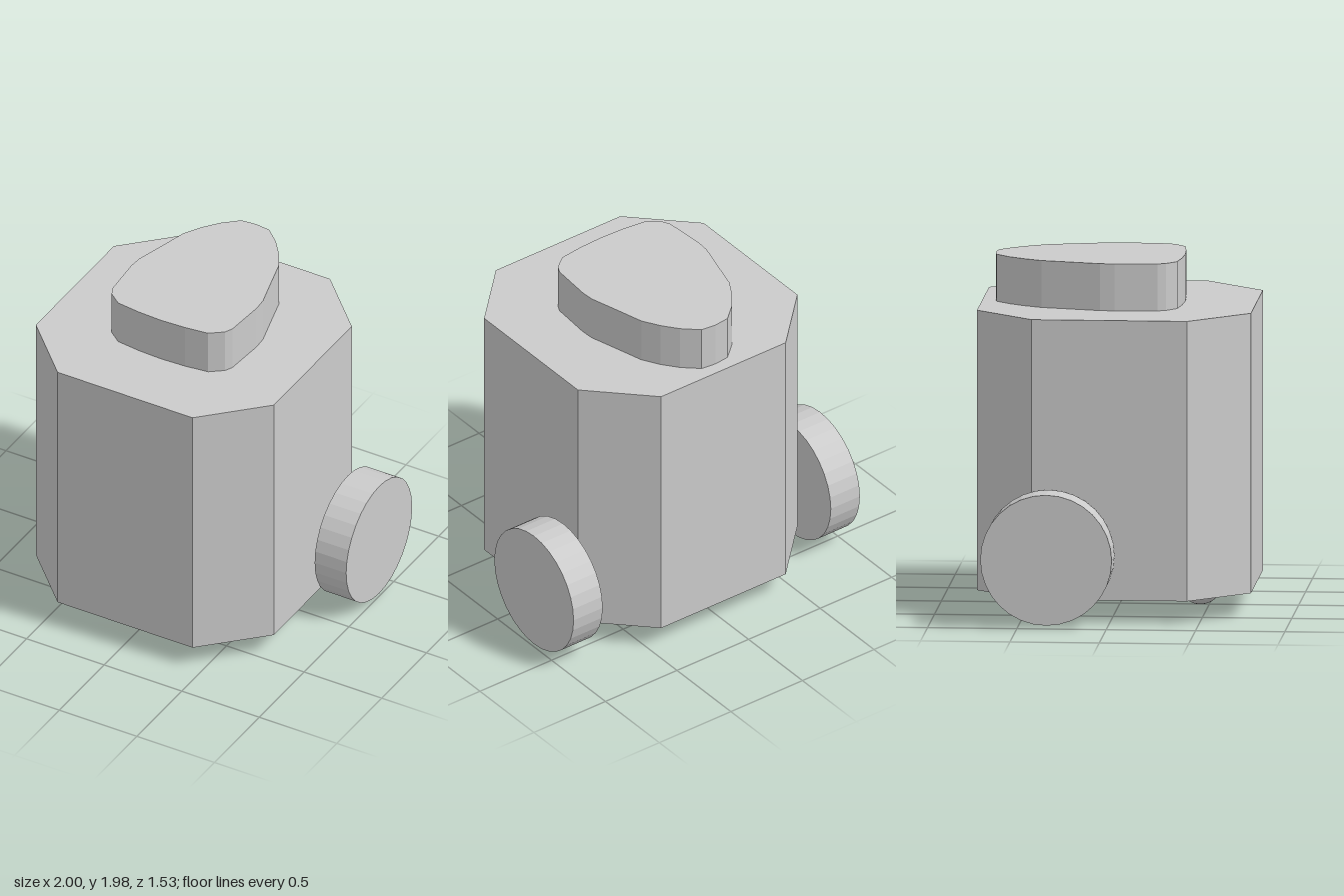
import * as THREE from 'three';

const material = new THREE.MeshStandardMaterial({ color: 0xcccccc, flatShading: true });
const smooth = new THREE.MeshStandardMaterial({ color: 0xcccccc });

// Upright prism from a plan outline of [x, z] points
function prism(name, outline, bottom, top) {
  const shape = new THREE.Shape(outline.map(([x, z]) => new THREE.Vector2(x, -z)));
  const geometry = new THREE.ExtrudeGeometry(shape, { depth: top - bottom, bevelEnabled: false });
  geometry.rotateX(-Math.PI / 2).translate(0, bottom, 0);
  const mesh = new THREE.Mesh(geometry, material);
  mesh.name = name;
  return mesh;
}

export function createModel() {
  const model = new THREE.Group();
  model.name = 'wheeledRobot';

  // Box body with cut corners
  const h = 0.767, c = 0.435;
  model.add(prism('body', [
    [c, h], [h, c], [h, -c], [c, -h], [-c, -h], [-h, -c], [-h, c], [-c, h],
  ], 0.13, 1.71));

  // Egg-shaped head, narrow at the back, mirrored from one half
  const half = [
    [0.09, -0.685], [0.18, -0.605], [0.25, -0.515], [0.308, -0.415], [0.35, -0.26],
    [0.4, -0.08], [0.405, 0], [0.387, 0.24], [0.365, 0.285], [0.29, 0.343], [0.15, 0.36],
  ];
  const mirrored = half.map(([x, z]) => [-x, z]).reverse();
  model.add(prism('head', [[0, -0.695], ...half, [0, 0.367], ...mirrored], 1.71, 1.975));

  // Side wheels
  for (const side of [1, -1]) {
    const wheel = new THREE.Mesh(
      new THREE.CylinderGeometry(0.368, 0.368, 0.203, 32).rotateZ(Math.PI / 2), material);
    wheel.position.set(side * 0.8985, 0.387, -0.337);
    wheel.name = side > 0 ? 'leftWheel' : 'rightWheel';
    model.add(wheel);
  }

  // Ball caster under the front
  const caster = new THREE.Mesh(new THREE.SphereGeometry(0.125, 32, 16), smooth);
  caster.position.set(0, 0.125, 0.45);
  caster.name = 'casterBall';
  model.add(caster);

  return model;
}
